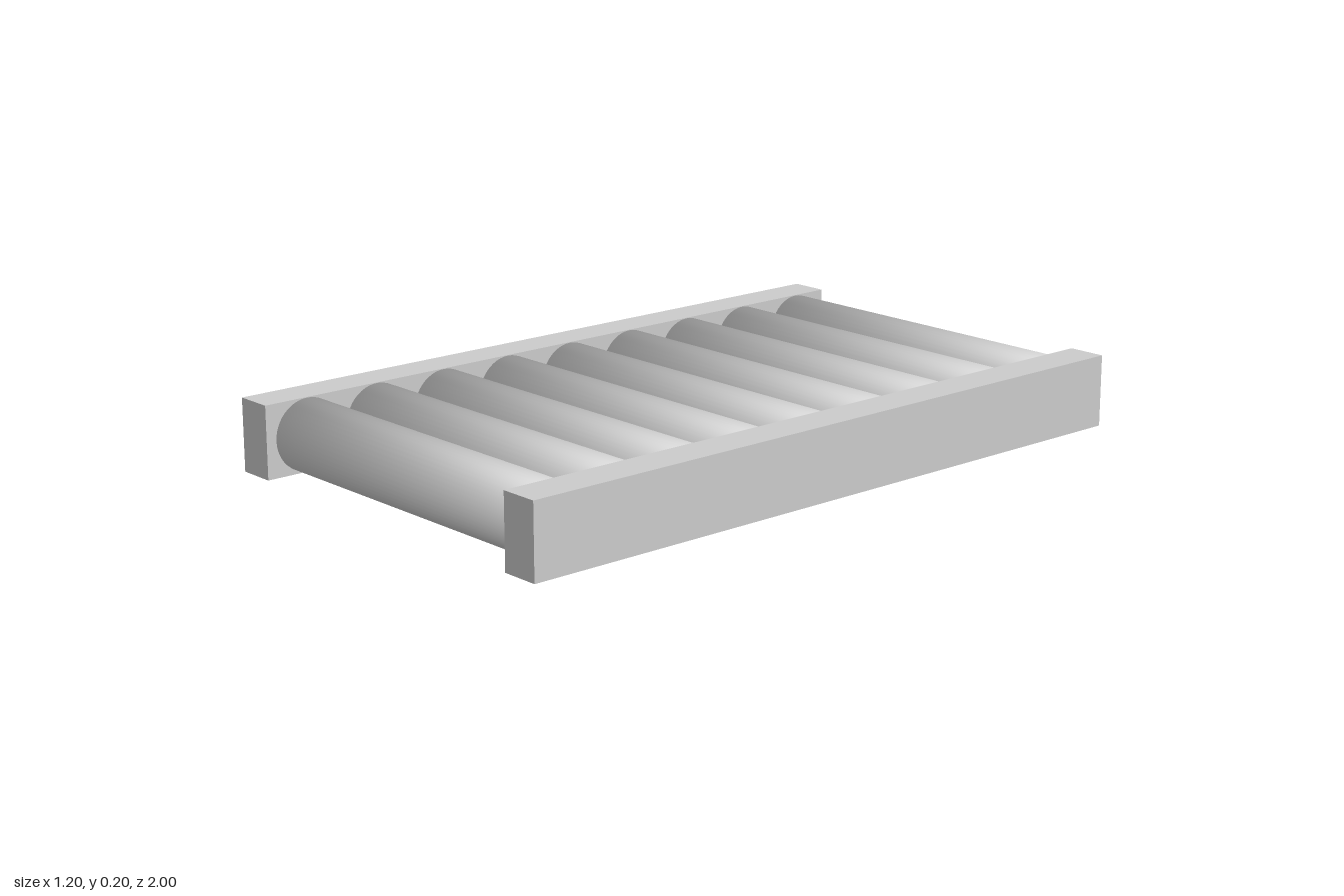
import * as THREE from 'three';

const HEIGHT = 0.2, INNER = 0.492, OUTER = 0.6;
const ROLLERS = 9, PITCH = 0.22, OFFSET = -0.008, RADIUS = 0.0985;

// Roller lying along x, with normals blended softly over the end rims
function rollerGeometry() {
  const geometry = new THREE.CylinderGeometry(RADIUS, RADIUS, INNER * 2, 48);
  const position = geometry.attributes.position;
  const normal = geometry.attributes.normal;
  const n = new THREE.Vector3();
  for (let i = 0; i < position.count; i++) {
    n.set(position.getX(i) / RADIUS, Math.sign(position.getY(i)), position.getZ(i) / RADIUS).normalize();
    normal.setXYZ(i, n.x, n.y, n.z);
  }
  return geometry.rotateZ(-Math.PI / 2);
}

export function createModel() {
  const model = new THREE.Group();
  model.name = 'rollerConveyor';
  const material = new THREE.MeshStandardMaterial({ color: 0xcccccc });

  // Side rails
  const railGeometry = new THREE.BoxGeometry(OUTER - INNER, HEIGHT, 2);
  for (const side of [1, -1]) {
    const rail = new THREE.Mesh(railGeometry, material);
    rail.name = side > 0 ? 'leftRail' : 'rightRail';
    rail.position.set(side * (INNER + OUTER) / 2, HEIGHT / 2, 0);
    model.add(rail);
  }

  // Evenly spaced rollers between the rails
  const rollers = new THREE.Group();
  rollers.name = 'rollers';
  const geometry = rollerGeometry();
  for (let i = 0; i < ROLLERS; i++) {
    const roller = new THREE.Mesh(geometry, material);
    roller.name = `roller${i + 1}`;
    roller.position.set(0, HEIGHT / 2, OFFSET + (i - (ROLLERS - 1) / 2) * PITCH);
    rollers.add(roller);
  }
  model.add(rollers);

  return model;
}
